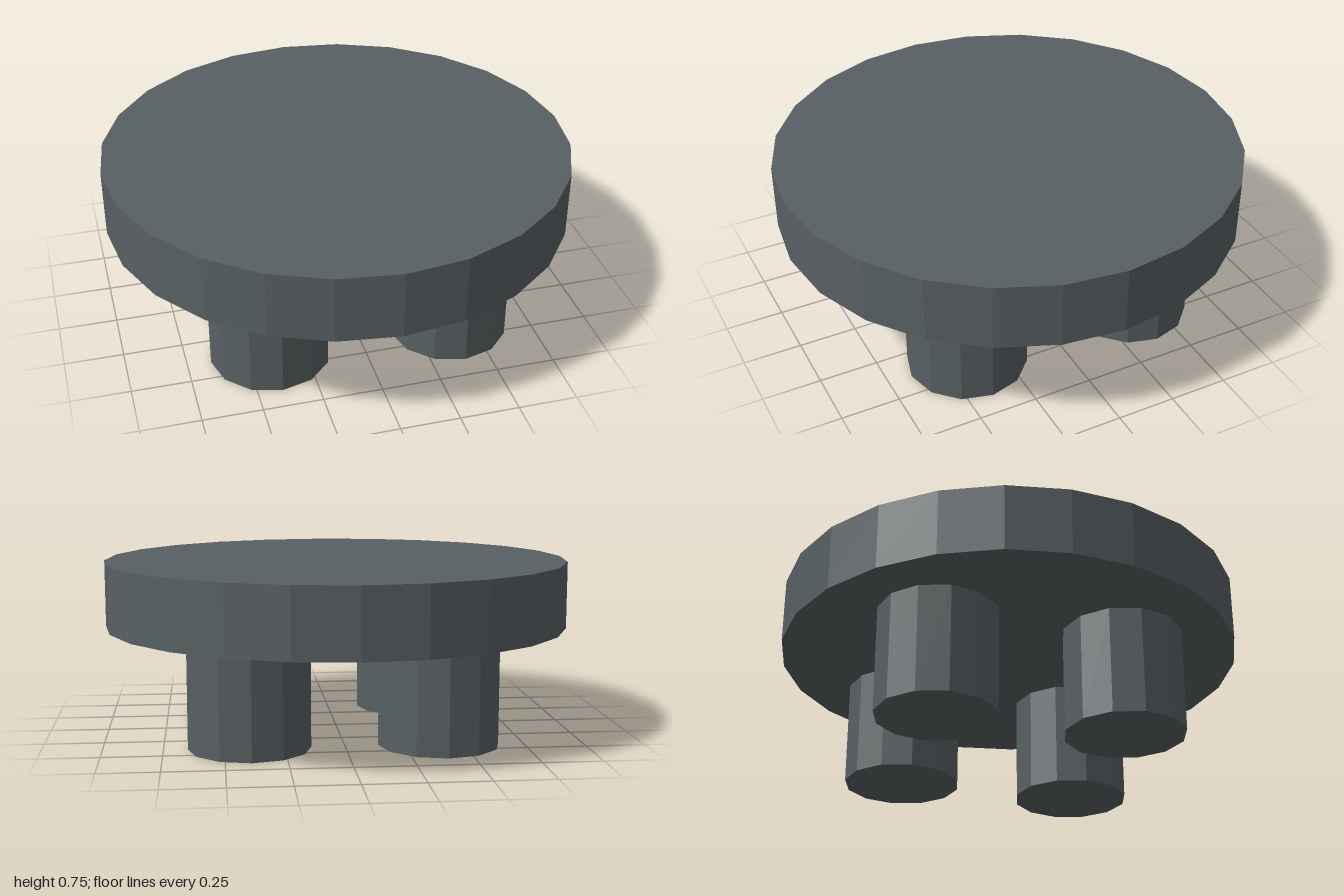
import * as THREE from 'three';

export function createModel() {
  const model = new THREE.Group();
  const slate = new THREE.MeshStandardMaterial({ color: 0x586063, flatShading: true });
  slate.name = 'slate grey';

  // Upright faceted cylinder standing on y = bottom
  function drum(name, radius, bottom, top, sides, x = 0, z = 0) {
    const mesh = new THREE.Mesh(new THREE.CylinderGeometry(radius, radius, top - bottom, sides), slate);
    mesh.name = name;
    mesh.position.set(x, (bottom + top) / 2, z);
    model.add(mesh);
  }

  // Round top
  drum('disc', 1, 0.46, 0.745, 24);

  // Four legs in a square
  for (const [zName, z] of [['front', 0.395], ['back', -0.395]]) {
    for (const [xName, x] of [['Left', 0.395], ['Right', -0.395]]) {
      drum(`${zName}${xName}Leg`, 0.255, 0, 0.46, 12, x, z);
    }
  }

  return model;
}
